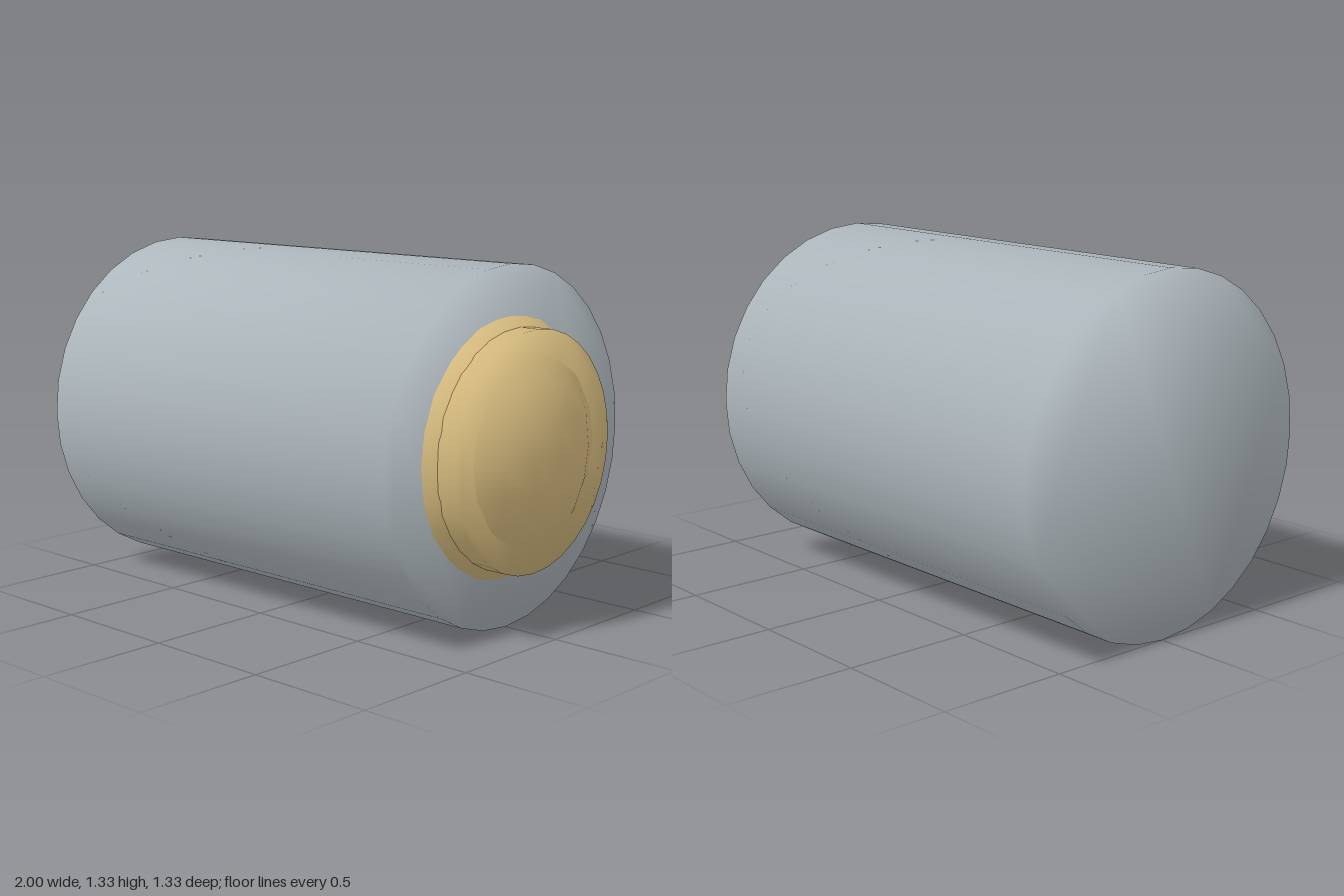
import * as THREE from 'three';

const SIDES = 32;

// Closed cylinder along x whose rim normals blend the side and the caps
function softCylinder(x0, x1, radius) {
  const pos = [], nor = [], idx = [], outline = [];
  const s = Math.SQRT1_2;
  for (const [x, n] of [[x0, -s], [x1, s]]) {
    for (let i = 0; i < SIDES; i++) {
      const a = (i / SIDES) * Math.PI * 2;
      pos.push(x, Math.cos(a) * radius, Math.sin(a) * radius);
      nor.push(n, Math.cos(a) * s, Math.sin(a) * s);
      if (x === x0) outline.push(new THREE.Vector2(Math.cos(a), Math.sin(a)));
    }
  }
  // side wall
  for (let i = 0; i < SIDES; i++) {
    const j = (i + 1) % SIDES;
    idx.push(i, j, i + SIDES, j, j + SIDES, i + SIDES);
  }
  // end caps
  for (const [a, b, c] of THREE.ShapeUtils.triangulateShape(outline, [])) {
    idx.push(a, c, b, a + SIDES, b + SIDES, c + SIDES);
  }
  const g = new THREE.BufferGeometry();
  g.setAttribute('position', new THREE.Float32BufferAttribute(pos, 3));
  g.setAttribute('normal', new THREE.Float32BufferAttribute(nor, 3));
  g.setIndex(idx);
  return g;
}

export function createModel() {
  const group = new THREE.Group();
  const steel = new THREE.MeshStandardMaterial({ color: 0xbcc6cc });
  const brass = new THREE.MeshStandardMaterial({ color: 0xe6c988 });

  const add = (name, geometry, material, x = 0) => {
    const mesh = new THREE.Mesh(geometry, material);
    mesh.name = name;
    mesh.position.set(x, 0.665, 0);
    group.add(mesh);
  };

  // main barrel
  add('body', softCylinder(-1, 0.775, 0.665), steel);
  // ball seated in the end of the barrel, showing as a shallow dome
  add('dome', new THREE.SphereGeometry(0.63, SIDES, 16), brass, 0.37);
  // raised band around the dome
  add('collar', softCylinder(0.72, 0.895, 0.443), brass);

  return group;
}
